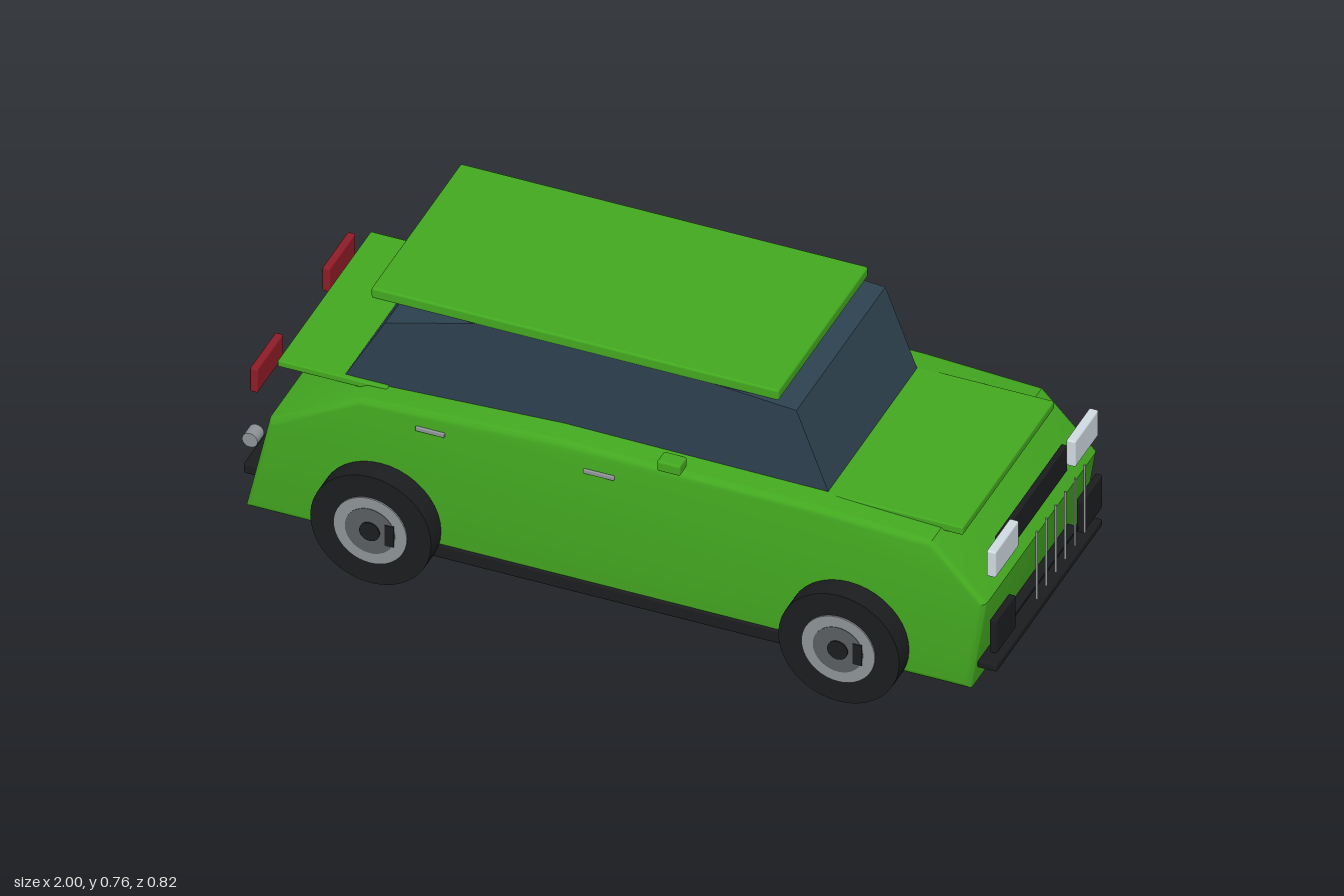
import * as THREE from 'three';
import { toCreasedNormals } from 'three/addons/utils/BufferGeometryUtils.js';
import { RoundedBoxGeometry } from 'three/addons/geometries/RoundedBoxGeometry.js';

const paint = (color) => new THREE.MeshStandardMaterial({ color });

export function createModel() {
  const car = new THREE.Group();
  car.name = 'car';
  const green = paint(0x43a820), glass = paint(0x2d4250), black = paint(0x1b1d1f);
  const grey = paint(0x8e9396), darkGrey = paint(0x5a5e61), lamp = paint(0xcfdbe2), red = paint(0x8f1c28);

  const add = (name, geometry, material, parent = car) => {
    const mesh = new THREE.Mesh(geometry, material);
    mesh.name = name;
    parent.add(mesh);
    return mesh;
  };

  // Box given by its limits on each axis, with slightly rounded edges
  const box = (name, [x0, x1], [y0, y1], [z0, z1], material, parent) => {
    const size = [x1 - x0, y1 - y0, z1 - z0];
    const mesh = add(name, new RoundedBoxGeometry(...size, 2, Math.min(...size) * 0.2), material, parent);
    mesh.position.set((x0 + x1) / 2, (y0 + y1) / 2, (z0 + z1) / 2);
    return mesh;
  };
  // The same box on both sides of the car
  const pair = (name, x, y, [z0, z1], material) => {
    box(name + 'Left', x, y, [z0, z1], material);
    box(name + 'Right', x, y, [-z1, -z0], material);
  };

  // Side profile extruded across the width, with bevelled sides
  const hull = (name, points, halfWidth, bevel, material) => {
    const shape = new THREE.Shape(points.map(([x, y]) => new THREE.Vector2(x, y)));
    const geometry = new THREE.ExtrudeGeometry(shape, {
      depth: 2 * (halfWidth - bevel), bevelEnabled: bevel > 0, bevelThickness: bevel,
      bevelSize: bevel, bevelOffset: -bevel, bevelSegments: 3,
    });
    geometry.translate(0, 0, -(halfWidth - bevel));
    return add(name, toCreasedNormals(geometry, 0.6), material);
  };

  // Main shell
  hull('body', [
    [-0.94, 0.08], [0.92, 0.08], [0.96, 0.34], [0.82, 0.485],
    [0.52, 0.5], [-0.15, 0.505], [-0.65, 0.48], [-0.88, 0.35],
  ], 0.34, 0.018, green);
  hull('cabinGlass', [
    [-0.715, 0.48], [0.53, 0.49], [0.445, 0.714],
    [0.22, 0.732], [-0.375, 0.732], [-0.61, 0.665],
  ], 0.267, 0, glass);
  box('roof', [-0.645, 0.4], [0.73, 0.76], [-0.27, 0.27], green);
  box('hood', [0.48, 0.875], [0.477, 0.5], [-0.275, 0.275], green);
  box('trunkLid', [-0.88, -0.6], [0.468, 0.486], [-0.28, 0.28], green);

  // Sides
  pair('sill', [-0.5, 0.5], [0.078, 0.118], [0.31, 0.345], black);
  pair('mirror', [0.13, 0.19], [0.515, 0.545], [0.325, 0.37], green);
  pair('rearDoorHandle', [-0.5, -0.425], [0.434, 0.446], [0.33, 0.346], grey);
  pair('frontDoorHandle', [-0.07, 0.01], [0.434, 0.446], [0.33, 0.346], grey);

  // Nose
  pair('headlight', [0.95, 0.974], [0.404, 0.479], [0.169, 0.31], lamp);
  pair('airIntake', [0.962, 0.98], [0.189, 0.285], [0.203, 0.318], black);
  box('grille', [0.925, 0.94], [0.365, 0.44], [-0.2, 0.2], black);
  box('lowerTrim', [0.94, 0.968], [0.2, 0.208], [-0.203, 0.203], black);
  box('frontBumper', [0.93, 0.98], [0.136, 0.155], [-0.318, 0.318], black);
  for (let i = 0; i < 6; i++) {
    const bar = add('grilleBar', new THREE.CylinderGeometry(0.003, 0.003, 0.197, 8), grey);
    bar.position.set(0.996, 0.318, 0.115 - i * 0.0575);
  }

  // Tail
  pair('tailLight', [-0.945, -0.925], [0.387, 0.456], [0.14, 0.295], red);
  box('rearBumper', [-0.96, -0.92], [0.146, 0.176], [-0.3, 0.3], black);
  for (const side of [1, -1]) {
    const pipe = add('exhaust', new THREE.CylinderGeometry(0.02, 0.02, 0.04, 16), grey);
    pipe.rotation.x = Math.PI / 2;
    pipe.position.set(-0.98, 0.178, side * 0.193);
  }

  // Wheels: stacked discs, each standing a little further out than the last
  const disc = (name, radius, z0, z1, material, parent) => {
    const mesh = add(name, new THREE.CylinderGeometry(radius, radius, z1 - z0, 40), material, parent);
    mesh.rotation.x = Math.PI / 2;
    mesh.position.z = (z0 + z1) / 2;
  };
  for (const x of [-0.59, 0.61]) {
    for (const side of [1, -1]) {
      const wheel = new THREE.Group();
      wheel.name = (x > 0 ? 'front' : 'rear') + 'Wheel' + (side > 0 ? 'Left' : 'Right');
      disc('tyre', 0.155, -0.045, 0.045, black, wheel);
      disc('rim', 0.094, 0.03, 0.049, grey, wheel);
      disc('rimCentre', 0.064, 0.04, 0.0505, darkGrey, wheel);
      disc('hub', 0.026, 0.045, 0.054, black, wheel);
      box('rimSlot', [side * 0.05 - 0.012, side * 0.05 + 0.012], [-0.03, 0.03], [0.045, 0.0525], black, wheel);
      wheel.position.set(x, 0.155, side * 0.355);
      if (side < 0) wheel.rotation.y = Math.PI;
      car.add(wheel);
    }
  }
  return car;
}
